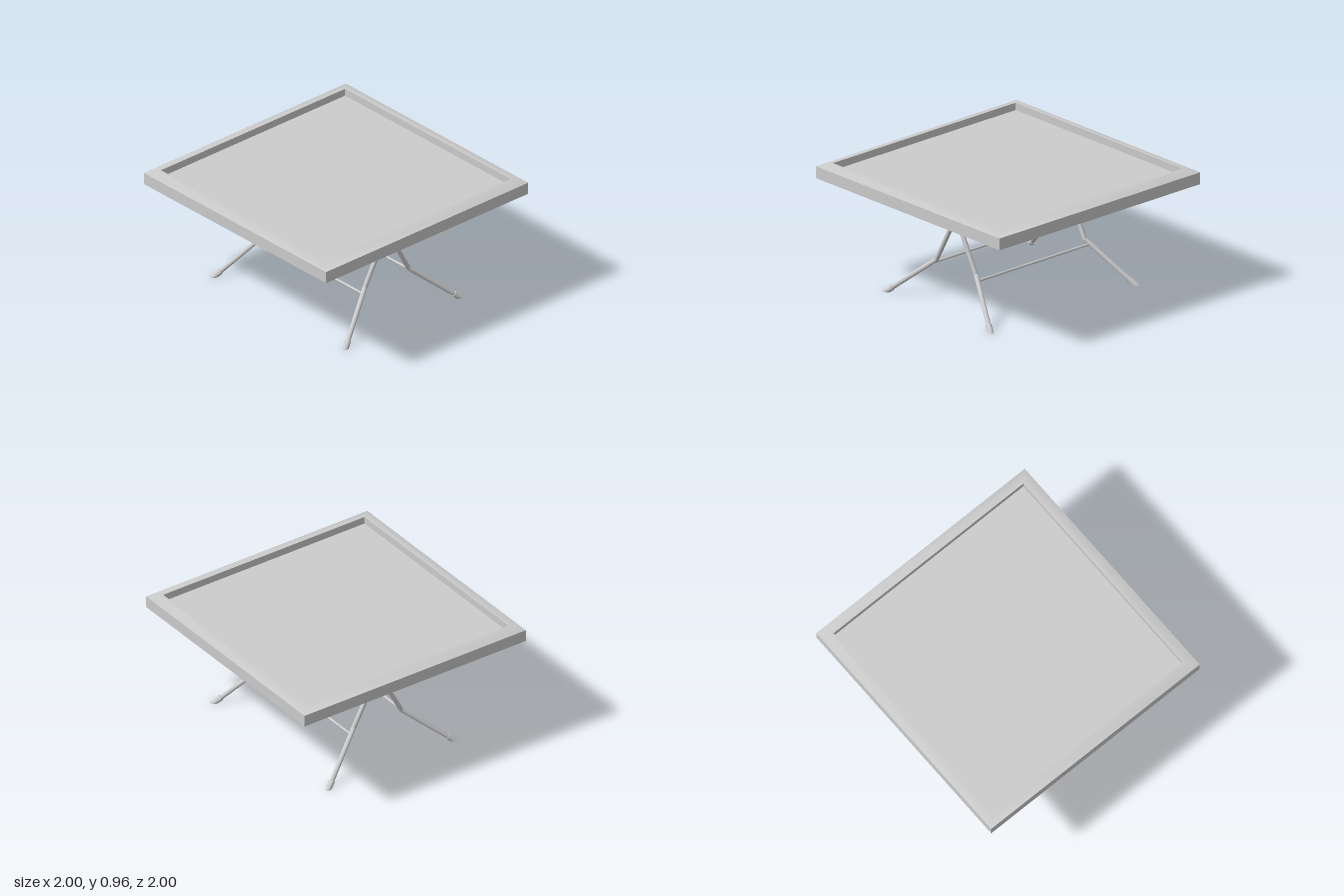
import * as THREE from 'three';
import { toCreasedNormals } from 'three/addons/utils/BufferGeometryUtils.js';

const V = (x, y, z) => new THREE.Vector3(x, y, z);
const UP = V(0, 1, 0);
const grey = new THREE.MeshStandardMaterial({ color: 0xcccccc });

// Round strut from a to b; each end is cut by the plane with the given normal.
function strut(name, a, b, r, cutA, cutB) {
  const axis = b.clone().sub(a);
  const length = axis.length();
  axis.normalize();
  const geo = new THREE.CylinderGeometry(r, r, length, 16);
  const turn = new THREE.Quaternion().setFromUnitVectors(UP, axis);
  const pos = geo.attributes.position;
  const p = V(0, 0, 0);
  for (let i = 0; i < pos.count; i++) {
    p.fromBufferAttribute(pos, i);
    const [end, cut] = p.y < 0 ? [a, cutA] : [b, cutB];
    p.y = 0;
    p.applyQuaternion(turn).add(end);
    // slide along the axis until the point lies on the cut plane
    const n = cut || axis;
    p.addScaledVector(axis, end.clone().sub(p).dot(n) / axis.dot(n));
    pos.setXYZ(i, p.x, p.y, p.z);
  }
  const mesh = new THREE.Mesh(toCreasedNormals(geo, 0.7), grey);
  mesh.name = name;
  return mesh;
}

// Square tray top: four-sided lathe of [half width, height]
function tableTop() {
  const profile = [[0, 0.837], [1, 0.837], [1, 0.93], [0.935, 0.957], [0.91, 0.957], [0.91, 0.9], [0, 0.9]]
    .map(([w, y]) => new THREE.Vector2(w * Math.SQRT2, y));
  const geo = new THREE.LatheGeometry(profile, 4, Math.PI / 4);
  const mesh = new THREE.Mesh(toCreasedNormals(geo, 0.6), grey);
  mesh.name = 'tableTop';
  return mesh;
}

// Bent leg with a flat-bottomed foot cap
function leg(sx, sz) {
  const g = new THREE.Group();
  g.name = (sz > 0 ? 'front' : 'back') + (sx > 0 ? 'Left' : 'Right') + 'Leg';
  const top = V(sx * 0.542, 0.85, sz * -0.078);
  const knee = V(sx * 0.542, 0.305, sz * 0.215);
  const foot = V(sx * 0.722, 0, sz * 0.568);
  const upper = top.clone().sub(knee).normalize();
  const lower = knee.clone().sub(foot).normalize();
  const mitre = upper.clone().add(lower).normalize();
  const capTop = foot.clone().lerp(knee, 0.125);
  g.add(
    strut('upperTube', knee, top, 0.018, mitre, UP),
    strut('lowerTube', foot.clone().lerp(knee, 0.05), knee, 0.018, null, mitre),
    strut('footCap', foot, capTop, 0.023, UP, null)
  );
  return g;
}

export function createModel() {
  const model = new THREE.Group();
  model.name = 'foldingTable';
  model.add(tableTop());

  // The folding frame sits slightly off centre under the top
  const frame = new THREE.Group();
  frame.name = 'foldingFrame';
  frame.position.set(-0.008, 0, -0.02);
  for (const sz of [1, -1]) {
    for (const sx of [1, -1]) frame.add(leg(sx, sz));
    frame.add(strut(sz > 0 ? 'frontCrossbar' : 'backCrossbar',
      V(-0.56, 0.27, sz * 0.25), V(0.56, 0.27, sz * 0.25), 0.01));
  }
  model.add(frame);
  return model;
}
